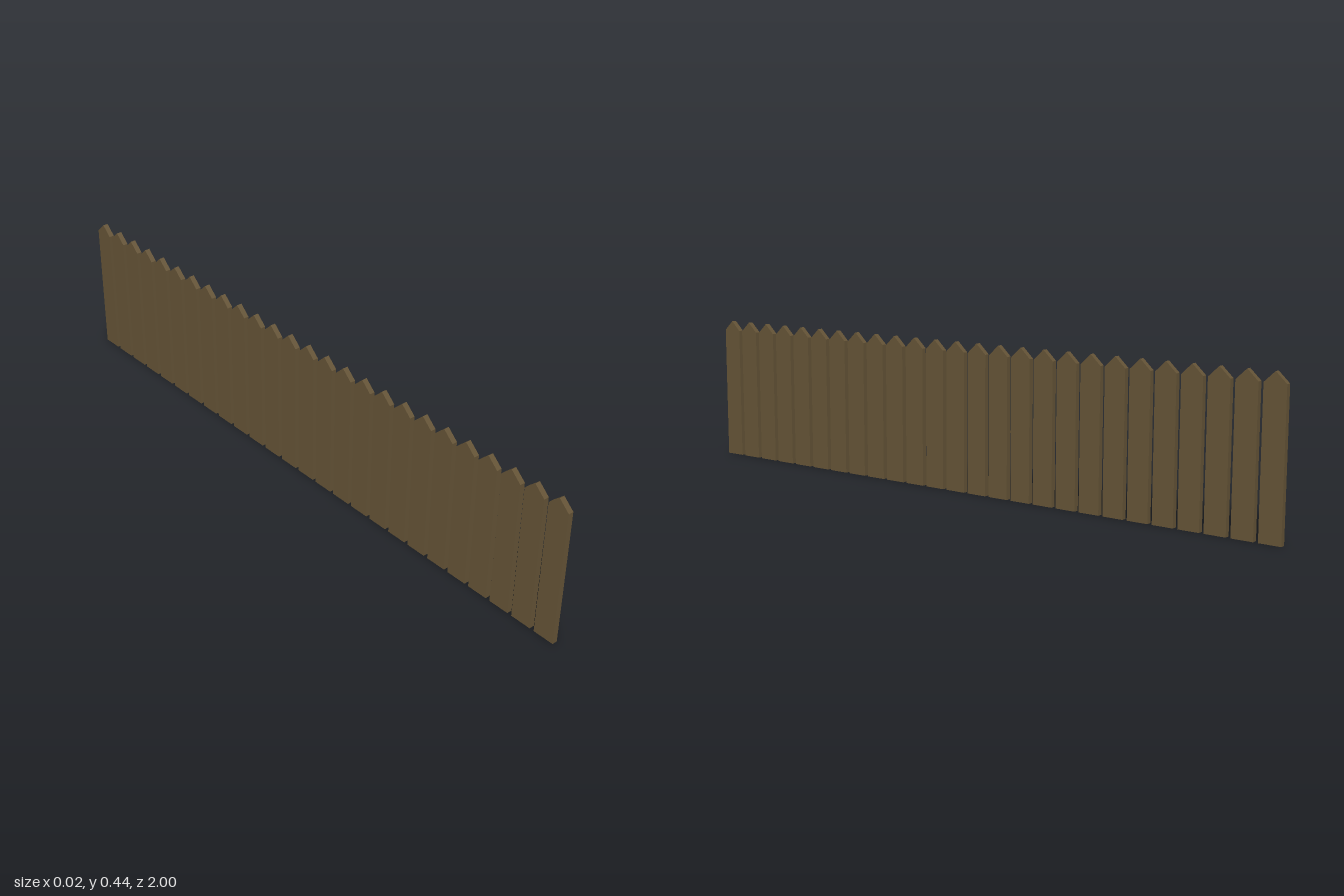
import * as THREE from 'three';

const COUNT = 26;
const WIDTH = 0.064;      // along z
const THICKNESS = 0.016;  // along x
const SHOULDER = 0.411;
const PEAK = 0.441;

export function createModel() {
  const fence = new THREE.Group();
  fence.name = 'picketFence';

  const wood = new THREE.MeshStandardMaterial({ color: 0x645336 });
  wood.name = 'brown wood';

  // Pointed board outline, extruded through its thickness
  const h = WIDTH / 2;
  const outline = new THREE.Shape([
    new THREE.Vector2(-h, 0),
    new THREE.Vector2(h, 0),
    new THREE.Vector2(h, SHOULDER),
    new THREE.Vector2(0, PEAK),
    new THREE.Vector2(-h, SHOULDER),
  ]);
  const board = new THREE.ExtrudeGeometry(outline, { depth: THICKNESS, bevelEnabled: false });
  board.translate(0, 0, -THICKNESS / 2);
  board.rotateY(Math.PI / 2);

  // Evenly spaced row of pickets along z
  const pitch = (2 - WIDTH) / (COUNT - 1);
  for (let i = 0; i < COUNT; i++) {
    const picket = new THREE.Mesh(board, wood);
    picket.name = `picket${i + 1}`;
    picket.position.z = -1 + h + i * pitch;
    fence.add(picket);
  }
  return fence;
}
